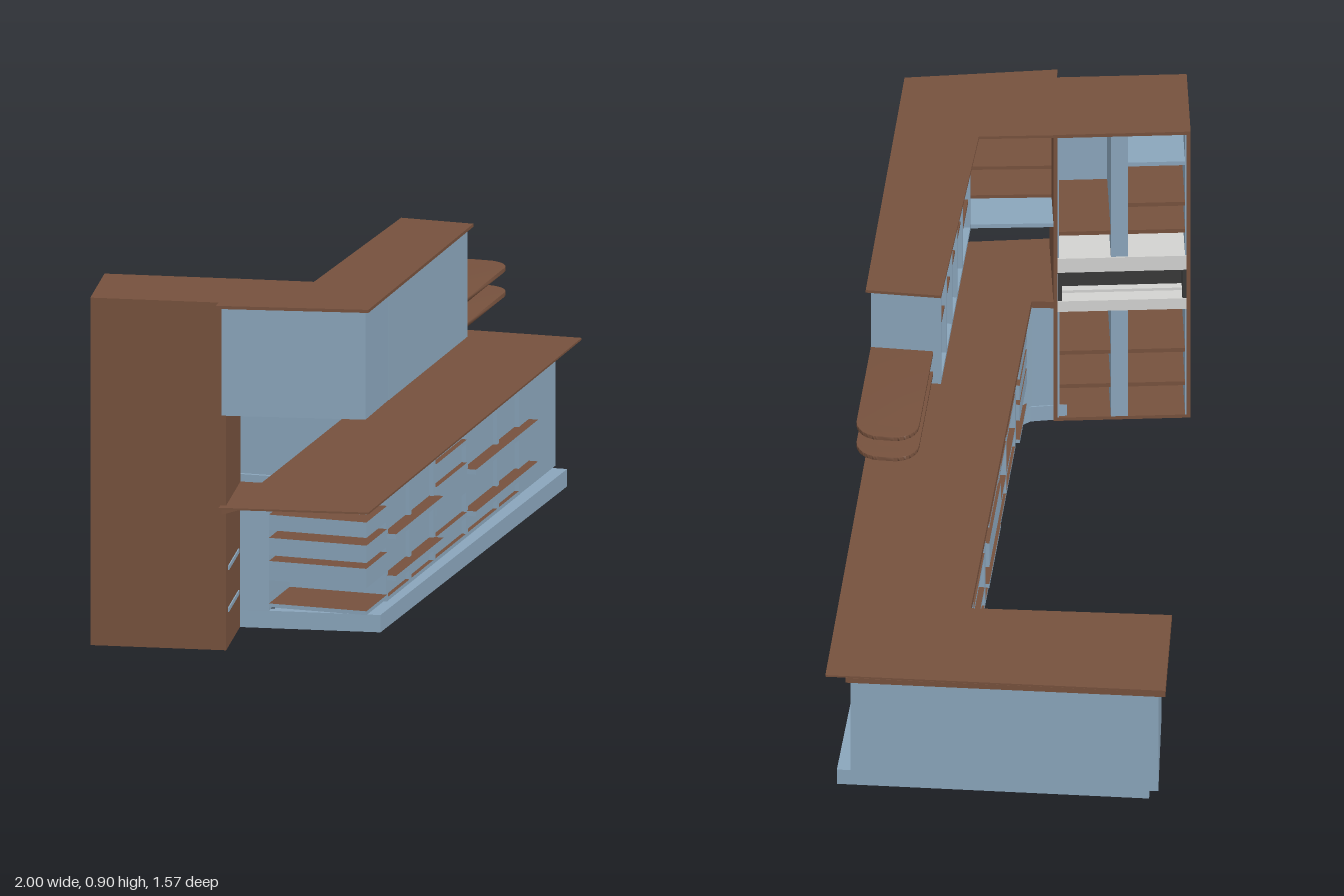
import * as THREE from 'three';
import { mergeVertices } from 'three/addons/utils/BufferGeometryUtils.js';

const mat = (name, color) => Object.assign(new THREE.MeshStandardMaterial({ color }), { name });

export function createModel() {
  const blue = mat('blue paint', 0x8aa5bb);
  const brown = mat('brown wood', 0x76513d);
  const grey = mat('oven trim grey', 0xd2d2d0);
  const black = mat('oven interior', 0x383838);
  // wooden top and bottom, painted edges
  const board = [blue, blue, brown, brown, blue, blue];

  const root = new THREE.Group();
  root.name = 'kitchen';

  const add = (parent, name, geo, material) => {
    const m = new THREE.Mesh(geo, material);
    m.name = name;
    parent.add(m);
    return m;
  };
  // box given by its limits on each axis
  const box = (parent, name, x0, x1, y0, y1, z0, z1, material) => {
    const m = add(parent, name, new THREE.BoxGeometry(x1 - x0, y1 - y0, z1 - z0), material);
    m.position.set((x0 + x1) / 2, (y0 + y1) / 2, (z0 + z1) / 2);
    return m;
  };
  // upright prism over a floor plan of [x, z] points
  const prism = (name, pts, y0, y1, material) => {
    const shape = new THREE.Shape(pts.map(([x, z]) => new THREE.Vector2(x, -z)));
    const geo = new THREE.ExtrudeGeometry(shape, { depth: y1 - y0, bevelEnabled: false });
    geo.rotateX(-Math.PI / 2).translate(0, y0, 0);
    return add(root, name, geo, material);
  };

  // worktop: thin sheet with a thicker core over the cabinets
  prism('worktop', [[-0.83, 0.48], [-0.6, 0.78], [0.992, -0.04], [0.575, -0.785],
    [0.305, -0.625], [0.56, -0.19], [-0.58, 0.385], [-0.61, 0.335]], 0.37, 0.375, brown);
  prism('worktopCore', [[-0.82, 0.48], [-0.16, 0.48], [0.968, -0.085], [0.575, -0.785],
    [0.305, -0.625], [0.56, -0.19], [-0.58, 0.385], [-0.61, 0.335]], 0.355, 0.37, brown);

  // plinth and closed blocks
  prism('plinth', [[-0.635, 0.315], [-0.405, 0.63], [0.94, -0.04], [0.558, -0.725],
    [0.33, -0.59], [0.575, -0.16], [-0.53, 0.4], [-0.575, 0.385]], 0, 0.045, blue);
  prism('peninsulaCabinet', [[0.68, 0.049], [0.945, -0.085], [0.569, -0.76], [0.33, -0.61], [0.57, -0.18]],
    0.045, 0.355, blue);
  prism('cornerFiller', [[-0.625, 0.33], [-0.575, 0.405], [-0.55, 0.39], [-0.58, 0.385]], 0.045, 0.355, blue);

  // straight run: local x along the counter, local z toward the front
  const run = new THREE.Group();
  run.name = 'counterRun';
  run.rotation.y = THREE.MathUtils.degToRad(27);
  root.add(run);

  const lower = [-0.516, -0.32, -0.123, 0.146, 0.404, 0.584];
  const zBack = 0.1, zFront = 0.353;
  box(run, 'baseFloor', -0.516, 0.584, 0.045, 0.055, zBack, zFront, board);
  lower.forEach(x => box(run, 'baseDivider', x - 0.008, x + 0.008, 0.055, 0.355, zBack, zFront, blue));
  box(run, 'basePanel', lower[0], lower[5], 0.055, 0.355, 0.332, 0.342, blue);
  // panel behind the end drawers, facing the front
  const endPanel = add(run, 'endPanel', new THREE.PlaneGeometry(0.179, 0.3), blue);
  endPanel.position.set(-0.6055, 0.205, zBack);
  for (const y of [0.1, 0.208]) {
    box(run, 'baseShelf', lower[0], lower[2], y, y + 0.013, zBack, 0.377, board);
    box(run, 'baseShelf', lower[3], 0.66, y, y + 0.013, zBack, 0.377, board);
  }
  // drawer stacks
  const drawers = (x0, x1, rows) => rows.forEach(([y0, y1]) =>
    box(run, 'drawer', x0, x1, y0, y1, zBack - 0.01, 0.356, board));
  drawers(-0.695, -0.524, [[0.055, 0.065], [0.125, 0.175], [0.19, 0.235], [0.255, 0.295], [0.315, 0.35]]);
  drawers(-0.115, 0.138, [[0.1, 0.112], [0.165, 0.24], [0.29, 0.3]]);

  // wall cabinet, open toward the kitchen
  const wallX = [-0.66, -0.49, -0.37, -0.26, -0.14, -0.026];
  const wallTop = 0.892;
  box(run, 'wallCabinetFront', -0.668, -0.02, 0.61, wallTop, 0.395, 0.407, blue);
  box(run, 'wallCabinetFloor', -0.668, -0.02, 0.61, 0.622, 0.23, 0.395, blue);
  wallX.forEach(x => box(run, 'wallDivider', x - 0.006, x + 0.006, 0.622, wallTop, 0.23, 0.395, blue));
  for (let i = 0; i < 5; i++) {
    const levels = i === 0 ? [0.7, 0.79] : [0.76];
    levels.forEach(y => box(run, 'wallShelf', wallX[i] + 0.006, wallX[i + 1] - 0.006, y, y + 0.01, 0.235, 0.395, brown));
  }
  // corner of the wall cabinet, open on its inner side
  const corner = [[-0.815, 0.475], [-0.59, 0.76], [-0.411, 0.665], [-0.49, 0.508], [-0.61, 0.337]];
  prism('wallCornerFloor', corner, 0.61, 0.622, blue);
  prism('wallCornerSide', [[-0.815, 0.475], [-0.59, 0.76], [-0.582, 0.75], [-0.805, 0.468]], 0.622, wallTop, blue);
  prism('wallCornerFront', [[-0.59, 0.76], [-0.411, 0.665], [-0.417, 0.654], [-0.584, 0.742]], 0.622, wallTop, blue);
  for (const y of [0.7, 0.79])
    prism('wallCornerShelf', [[-0.8, 0.472], [-0.588, 0.74], [-0.42, 0.65], [-0.495, 0.51], [-0.61, 0.345]],
      y, y + 0.01, brown);
  prism('wallCabinetTop', [[-0.84, 0.48], [-0.6, 0.78], [0.185, 0.375], [0.1, 0.205],
    [-0.5, 0.49], [-0.61, 0.335]], wallTop, 0.9, brown);

  // rounded open shelves beside the wall cabinet, softly shaded
  const r = 0.06, sx = 0.345, za = 0.25, zb = 0.407;
  const s = new THREE.Shape();
  s.moveTo(-0.02, -zb);
  s.lineTo(sx - r, -zb);
  s.absarc(sx - r, -zb + r, r, -Math.PI / 2, 0, false);
  s.absarc(sx - r, -za - r, r, 0, Math.PI / 2, false);
  s.lineTo(-0.02, -za);
  for (const y of [0.636, 0.7]) {
    let geo = new THREE.ExtrudeGeometry(s, { depth: 0.011, bevelEnabled: false, curveSegments: 12 });
    geo.rotateX(-Math.PI / 2).translate(0, y, 0);
    geo.deleteAttribute('normal');
    geo.deleteAttribute('uv');
    geo = mergeVertices(geo);
    geo.computeVertexNormals();
    add(run, 'roundedShelf', geo, brown);
  }

  // tall cabinet: local z is its open face
  const tall = new THREE.Group();
  tall.name = 'tallCabinet';
  tall.position.set(-0.806, 0, 0.269);
  tall.rotation.y = THREE.MathUtils.degToRad(126);
  root.add(tall);
  const w = 0.172, d = 0.119, t = 0.01;
  box(tall, 'tallBack', -w, w, 0, 0.9, -d, -d + t, brown);
  box(tall, 'tallBackLining', -w + t, w - t, t, 0.9 - t, -d + t, -d + t + 0.004, blue);
  box(tall, 'tallTop', -w, w, 0.9 - t, 0.9, -d, d, brown);
  box(tall, 'tallBottom', -w, w, 0, t, -d, d, brown);
  for (const side of [-1, 1]) {
    const x = side * (w - t / 2), l = side * (w - t - 0.002);
    box(tall, 'tallSide', x - t / 2, x + t / 2, 0, 0.9, -d, d, brown);
    box(tall, 'tallSideLining', l - 0.002, l + 0.002, t, 0.9 - t, -d + t, d, blue);
  }
  const p0 = -0.028, p1 = 0.015;
  for (const [y0, y1] of [[t, 0.345], [0.512, 0.9 - t]])
    box(tall, 'tallPost', p0, p1, y0, y1, -d + t, d, blue);
  // shelves in both bays
  for (const y of [0.095, 0.2, 0.575]) {
    box(tall, 'tallShelf', -w + t, p0, y, y + 0.012, -d + t, d - 0.01, brown);
    box(tall, 'tallShelf', p1, w - t, y, y + 0.012, -d + t, d - 0.01, brown);
  }
  box(tall, 'tallShelf', p1, w - t, 0.66, 0.672, -d + t, d - 0.01, brown);
  box(tall, 'tallRail', p1, w - t, 0.795, 0.807, -d + t, d, blue);
  // slim strips on the outer side
  for (const y of [0.092, 0.2])
    box(tall, 'sideStrip', -w - 0.003, -w, y, y + 0.011, -0.09, 0.085, blue);

  // built-in oven: framed dark recess with a rack
  box(tall, 'ovenPanel', -w + t, w - t, 0.468, 0.512, -d + 0.02, d + 0.003, grey);
  box(tall, 'ovenSill', -w + t, w - t, 0.345, 0.378, -d + 0.02, d + 0.003, grey);
  box(tall, 'ovenBack', -w + t, w - t, 0.378, 0.468, d - 0.07, d - 0.06, black);
  box(tall, 'ovenCeiling', -w + t, w - t, 0.463, 0.468, d - 0.06, d + 0.001, black);
  for (const side of [-1, 1]) {
    const x = side * (w - t - 0.006);
    box(tall, 'ovenSide', x - 0.005, x + 0.005, 0.378, 0.463, d - 0.06, d + 0.001, black);
  }
  box(tall, 'ovenRack', -0.15, 0.15, 0.402, 0.41, d - 0.008, d, grey);

  return root;
}
